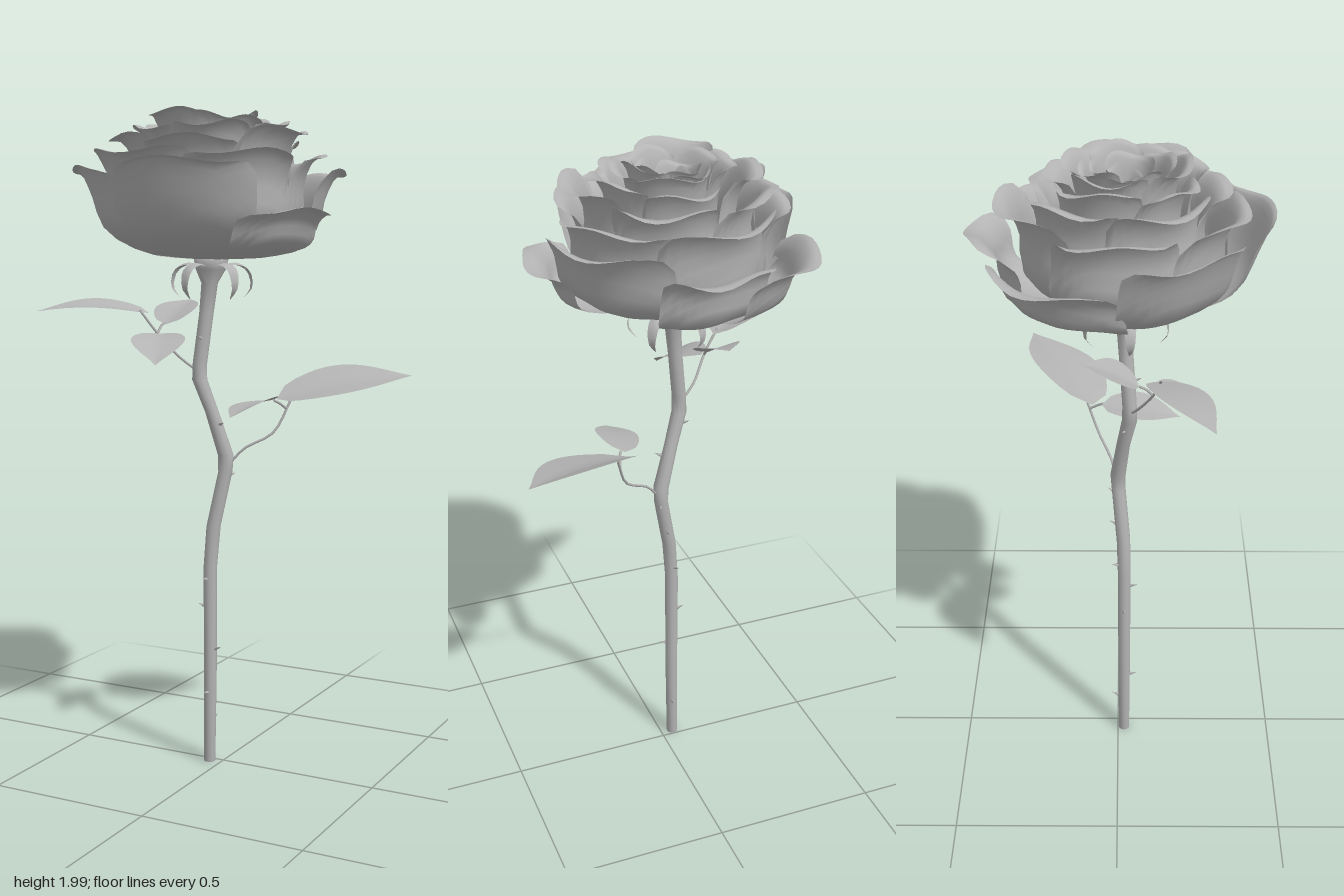
import * as THREE from 'three';
import { mergeVertices } from 'three/addons/utils/BufferGeometryUtils.js';

const V = (x, y, z) => new THREE.Vector3(x, y, z);
const CX = -0.03, CZ = 0.02, Y0 = 1.56; // flower axis and base height

// grid surface from a rule fn(u, v) with u, v in 0..1
function sheet(fn, nu, nv) {
  const pos = [], idx = [];
  for (let j = 0; j <= nv; j++) for (let i = 0; i <= nu; i++) pos.push(...fn(i / nu, j / nv).toArray());
  for (let j = 0; j < nv; j++) for (let i = 0; i < nu; i++) {
    const a = j * (nu + 1) + i, b = a + 1, c = a + nu + 1, d = c + 1;
    idx.push(a, c, b, b, c, d);
  }
  const g = new THREE.BufferGeometry();
  g.setAttribute('position', new THREE.Float32BufferAttribute(pos, 3));
  g.setIndex(idx);
  const m = mergeVertices(g, 1e-5);
  m.computeVertexNormals();
  return m;
}

// round sweep through straight segments; each ring is [x, y, z, radius]
function sweep(rings, sides) {
  return sheet((u, v) => {
    const [x, y, z, r] = rings[Math.round(v * (rings.length - 1))];
    const a = (Math.round(u * sides) % sides) / sides * Math.PI * 2;
    return V(x + r * Math.cos(a), y, z - r * Math.sin(a));
  }, sides, rings.length - 1);
}

// cupped petal with an outward lip, wrapped round the flower axis
function petal(deg, halfDeg, R, top, lip, skew = 0.05) {
  const H = top - Y0, th = THREE.MathUtils.degToRad(deg), half = THREE.MathUtils.degToRad(halfDeg);
  const profile = new THREE.CatmullRomCurve3([
    V(0.03, 0, 0), V(R * 0.48, H * 0.08, 0), V(R * 0.77, H * 0.34, 0),
    V((R - lip) * 0.96, H * 0.72, 0), V(R - lip * 0.6, H * 0.95, 0), V(R, H * (1 - lip * 0.5), 0)]);
  return sheet((u, v) => {
    const s = u * 2 - 1;
    const t = v * (1 - 0.3 * Math.pow(Math.abs(s), 3) - 0.02 * (1 + Math.sin(s * 7 + deg)));
    const p = profile.getPoint(t);
    const a = th + s * half * (1 - 0.12 * v * v);
    const r = p.x * (1 + skew * s) * (1 - 0.04 * s * s * v);
    return V(CX + r * Math.cos(a), Y0 + p.y + 0.01 * v * Math.sin(s * 5 + deg), CZ + r * Math.sin(a));
  }, 14, 12);
}

// pointed leaf with a folded midrib and a gentle arch
function leaf(base, tip, width, arch, roll = 0) {
  const dir = tip.clone().sub(base).normalize();
  const side = V(0, 1, 0).cross(dir).normalize().applyAxisAngle(dir, roll);
  const up = dir.clone().cross(side);
  return sheet((u, v) => {
    const s = u * 2 - 1;
    const w = v === 1 ? 0 : width / 2 * Math.pow(Math.sin(Math.PI * Math.pow(v, 0.85)), 0.55 + 0.6 * v);
    return base.clone().lerp(tip, v).addScaledVector(side, s * w)
      .addScaledVector(up, arch * Math.sin(Math.PI * v) + Math.abs(s) * w * 0.15);
  }, 6, 12);
}

export function createModel() {
  const root = new THREE.Group();
  const grey = new THREE.MeshStandardMaterial({ color: 0xb4b4b4, side: THREE.DoubleSide });
  grey.name = 'plain grey';
  const add = (name, geo, parent = root) => {
    const m = new THREE.Mesh(geo, grey);
    m.name = name;
    parent.add(m);
    return m;
  };
  const group = name => {
    const g = new THREE.Group();
    g.name = name;
    root.add(g);
    return g;
  };

  // bent stem, swelling into the calyx
  const stem = [[-0.038, 0, 0.02, 0], [-0.038, 0, 0.02, 0.018], [-0.035, 0.3, 0.02, 0.02],
    [-0.035, 0.62, 0.02, 0.021], [-0.025, 0.75, 0.017, 0.022], [0.008, 0.92, 0.002, 0.022],
    [0.008, 0.97, 0, 0.024], [-0.03, 1.1, 0.016, 0.021], [-0.063, 1.2, 0.034, 0.023],
    [-0.062, 1.25, 0.034, 0.022], [-0.045, 1.4, 0.024, 0.022], [-0.036, 1.49, 0.02, 0.025],
    [-0.032, 1.53, 0.02, 0.045], [CX, 1.57, CZ, 0.055], [CX, 1.58, CZ, 0]];
  add('stem', sweep(stem, 10));

  // thorns: height on the stem and direction
  const thorns = group('thorns');
  [[0.13, 280], [0.22, 90], [0.36, 10], [0.49, 180], [0.58, 100], [0.66, 250], [0.8, 280],
    [0.9, 300], [1.06, 30], [1.16, 200], [1.32, 80]].forEach(([y, deg]) => {
    const k = stem.findIndex((r, i) => i > 1 && r[1] >= y), a = stem[k - 1], b = stem[k];
    const f = (y - a[1]) / (b[1] - a[1]), t = THREE.MathUtils.degToRad(deg);
    const d = V(Math.cos(t), 0.3, Math.sin(t)).normalize();
    const m = add('thorn', new THREE.ConeGeometry(0.008, 0.032, 5), thorns);
    m.quaternion.setFromUnitVectors(V(0, 1, 0), d);
    m.position.set(a[0] + (b[0] - a[0]) * f, y, a[2] + (b[2] - a[2]) * f).addScaledVector(d, 0.028);
  });

  // sepals curling out and down below the flower
  const sepals = group('sepals');
  const curl = new THREE.CatmullRomCurve3([V(0.035, 1.545, 0), V(0.08, 1.55, 0), V(0.115, 1.53, 0),
    V(0.125, 1.48, 0), V(0.1, 1.445, 0)]);
  for (let i = 0; i < 5; i++) {
    const a = 0.5 + i * Math.PI * 2 / 5;
    add('sepal', sheet((u, v) => {
      const p = curl.getPoint(v), s = (u * 2 - 1) * 0.022 * (1 - v * v * 0.95);
      return V(CX + p.x * Math.cos(a) - s * Math.sin(a), p.y - Math.abs(s) * 0.3,
        CZ + p.x * Math.sin(a) + s * Math.cos(a));
    }, 4, 9), sepals);
  }

  // outer petals: direction, half angle, reach, top, lip
  const outer = group('outerPetals');
  [[76, 40, 0.41, 1.84, 0.03], [147, 39, 0.41, 1.83, 0.04], [218, 41, 0.43, 1.74, 0.06],
    [267, 31, 0.445, 1.78, 0.07], [325, 40, 0.4, 1.82, 0.05], [20, 35, 0.425, 1.7, 0.06]]
    .forEach(p => add('outerPetal', petal(...p), outer));

  // nested rings: count, start direction, half angle, reach, top, lip
  const inner = group('innerPetals');
  [[5, 40, 47, 0.345, 1.87, 0.06], [5, 5, 48, 0.3, 1.925, 0.07], [5, 60, 48, 0.24, 1.96, 0.065],
    [4, 20, 60, 0.185, 1.985, 0.05], [4, 70, 60, 0.135, 1.98, 0.035], [3, 10, 76, 0.095, 1.965, 0.025],
    [3, 60, 78, 0.055, 1.945, 0.012]]
    .forEach(([n, start, half, R, top, lip], k) => {
      for (let i = 0; i < n; i++) {
        const wob = Math.sin(i * 2.4 + k * 1.7);
        add('innerPetal', petal(start + i * 360 / n, half, R * (1 + 0.05 * wob), top + 0.012 * wob, lip, 0.08), inner);
      }
    });

  // leaf sprays: stalk paths and leaves
  const stalk = (pts, parent) => add('leafStalk',
    new THREE.TubeGeometry(new THREE.CatmullRomCurve3(pts), 10, 0.004, 5), parent);
  const low = group('lowerLeafSpray');
  stalk([V(0.01, 0.93, 0), V(0.06, 0.99, -0.02), V(0.14, 1.04, -0.06), V(0.18, 1.14, -0.1)], low);
  stalk([V(0.17, 1.11, -0.09), V(0.16, 1.13, -0.06), V(0.15, 1.14, -0.04)], low);
  add('leaf', leaf(V(0.14, 1.14, -0.08), V(0.5, 1.21, -0.28), 0.235, 0.012, 0.28), low);
  add('leaf', leaf(V(0.14, 1.14, -0.05), V(0.12, 1.11, 0.19), 0.13, 0.01, 0.2), low);

  const high = group('upperLeafSpray');
  stalk([V(-0.06, 1.22, 0.034), V(-0.12, 1.27, 0.06), V(-0.17, 1.34, 0.1), V(-0.22, 1.41, 0.12)], high);
  stalk([V(-0.17, 1.34, 0.1), V(-0.17, 1.36, 0.08), V(-0.17, 1.37, 0.06)], high);
  add('leaf', leaf(V(-0.2, 1.4, 0.1), V(-0.5, 1.405, 0.26), 0.15, 0.018, -0.15), high);
  add('leaf', leaf(V(-0.165, 1.365, 0.06), V(-0.165, 1.435, -0.1), 0.14, 0.01), high);
  add('leaf', leaf(V(-0.16, 1.34, 0.1), V(-0.08, 1.26, 0.27), 0.16, 0.015), high);

  return root;
}
